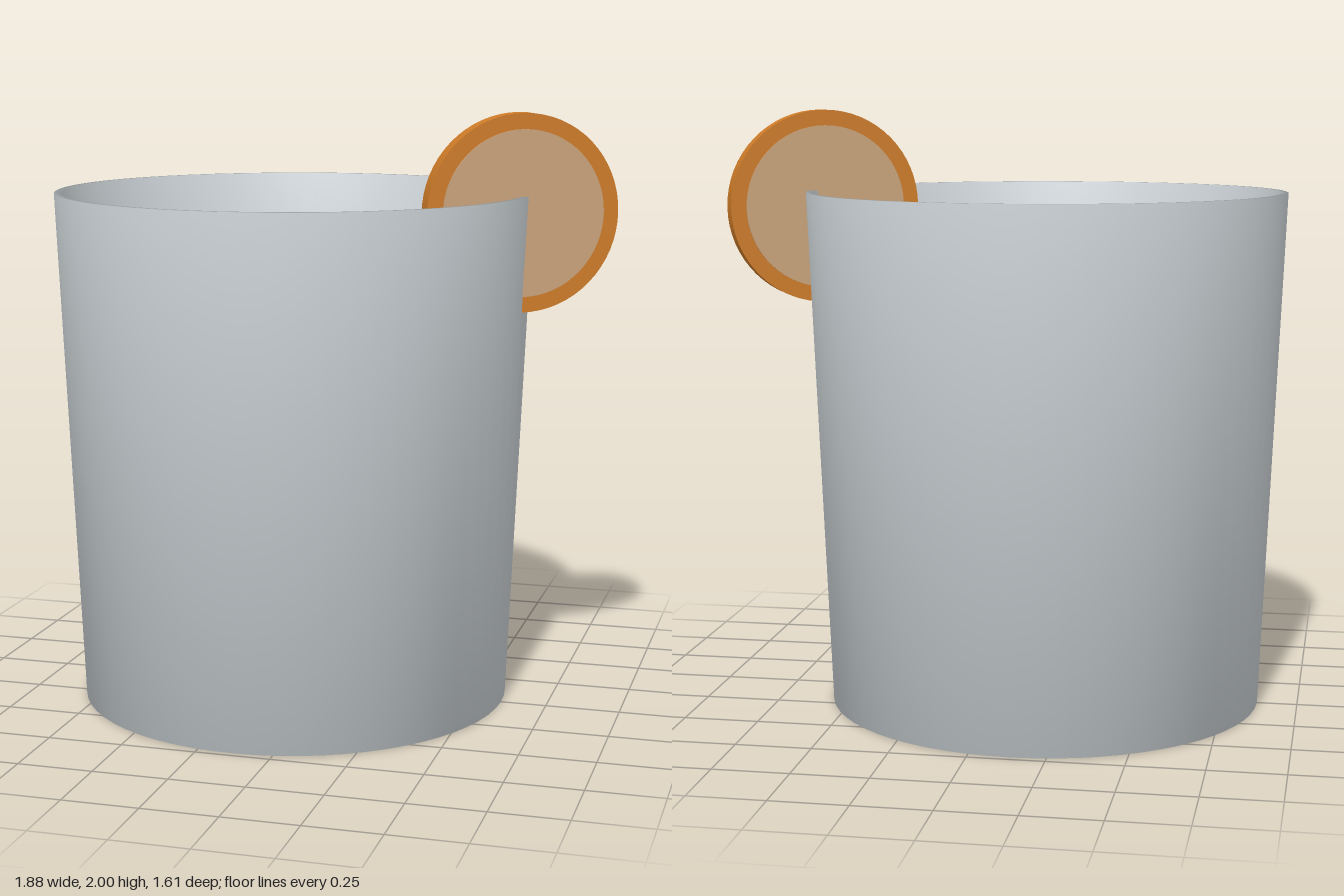
import * as THREE from 'three';
import { RoundedBoxGeometry } from 'three/addons/geometries/RoundedBoxGeometry.js';

const mat = (name, color) => {
  const m = new THREE.MeshStandardMaterial({ color });
  m.name = name;
  return m;
};

const part = (name, geometry, material) => {
  const mesh = new THREE.Mesh(geometry, material);
  mesh.name = name;
  return mesh;
};

export function createModel() {
  const glassMat = mat('pale glass', 0xd3dade);
  const iceMat = mat('ice', 0xd6dde0);
  const liquidMat = mat('red drink', 0xa52428);
  const rindMat = mat('orange rind', 0xcf7c28);
  const fleshMat = mat('orange flesh', 0xcaa47c);

  const model = new THREE.Group();
  model.name = 'drink';
  const cx = -0.135;

  // Tumbler: outer wall, rim, inner wall and thick base in one profile
  const profile = [
    [0, 0], [0.73, 0], [0.803, 1.73], [0.78, 1.73],
    [0.73, 1.3], [0.7, 0.12], [0, 0.12],
  ].map(([r, y]) => new THREE.Vector2(r, y));
  const tumbler = part('tumbler', new THREE.LatheGeometry(profile, 64), glassMat);
  tumbler.position.x = cx;
  model.add(tumbler);

  // Drink filling the tumbler up to y = 1.3
  const liquid = part('liquid', new THREE.CylinderGeometry(0.729, 0.699, 1.18, 64), liquidMat);
  liquid.position.set(cx, 0.71, 0);
  model.add(liquid);

  // Ice cube floating with one edge up; its origin lies on that edge
  const ice = part('iceCube', new RoundedBoxGeometry(0.7, 0.65, 0.65, 4, 0.13), iceMat);
  ice.geometry.translate(0, -0.325, -0.325);
  ice.rotation.set(-0.65, -0.6, 0, 'YXZ');
  ice.position.set(-0.03, 1.61, 0.21);
  model.add(ice);

  // Citrus slice on the rim: rind disc with slightly raised flesh on both sides
  const slice = new THREE.Group();
  slice.name = 'citrusSlice';
  const disc = (name, radius, depth, material) => {
    const geometry = new THREE.CylinderGeometry(radius, radius, depth, 64);
    geometry.rotateX(Math.PI / 2);
    return part(name, geometry, material);
  };
  slice.add(disc('rind', 0.325, 0.068, rindMat));
  for (const side of [-1, 1]) {
    const flesh = disc(side > 0 ? 'frontFlesh' : 'backFlesh', 0.273, 0.008, fleshMat);
    flesh.position.z = side * 0.036;
    slice.add(flesh);
  }
  slice.rotation.y = 0.49;
  slice.position.set(0.635, 1.675, 0);
  model.add(slice);

  return model;
}
